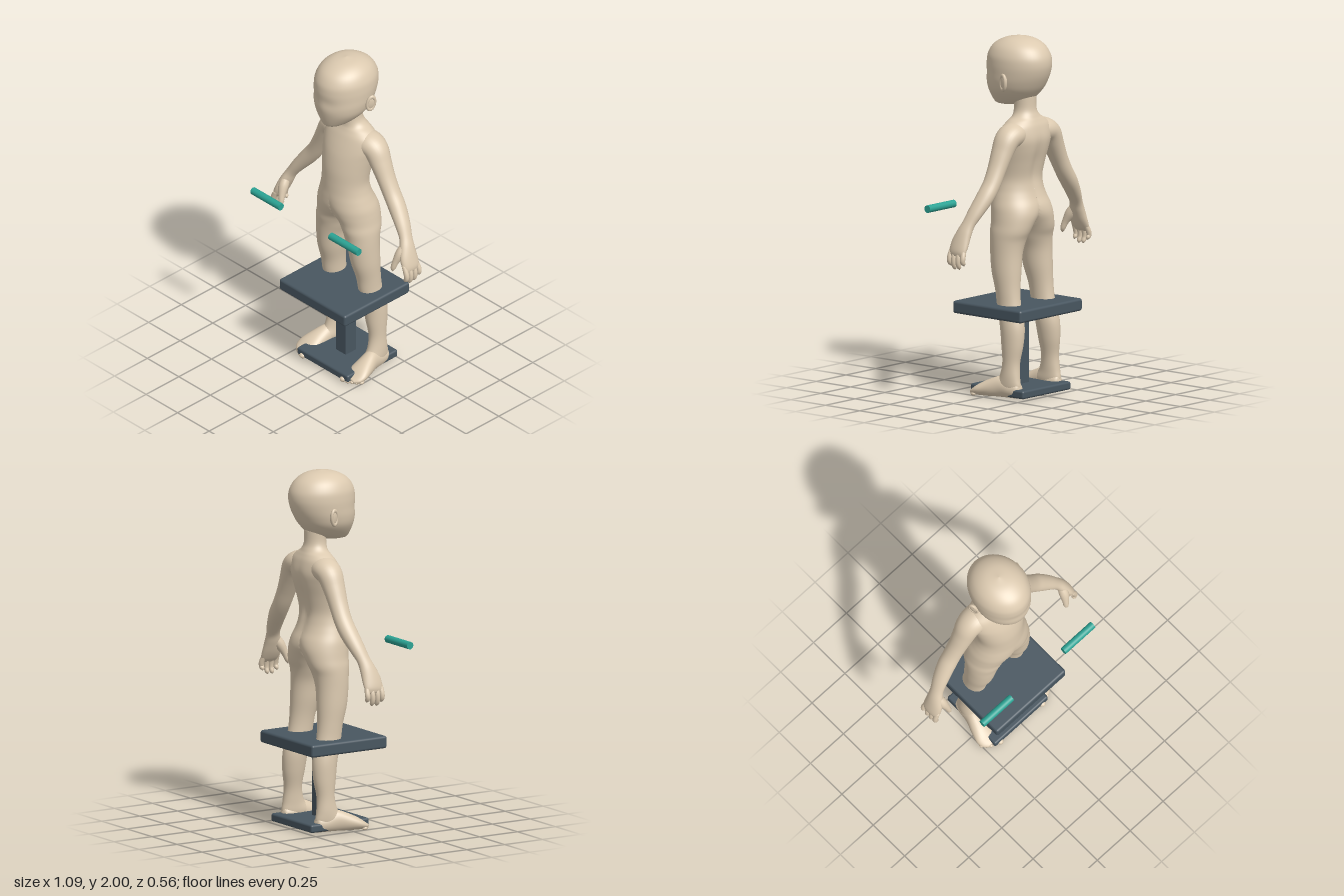
import * as THREE from 'three';
import { RoundedBoxGeometry } from 'three/addons/geometries/RoundedBoxGeometry.js';

const Y = new THREE.Vector3(0, 1, 0), Z = new THREE.Vector3(0, 0, 1);

// Smooth closed loft through ellipses [x, y, z, a, b]; b lies along "ref", a across it.
// "half" cuts the loft at x = 0 so that it joins its mirror image without a seam.
function loft(sections, { side = 1, ref = Z, axis = null, seg = 32, steps = 5, tweak = null, half = false } = {}) {
  const path = new THREE.CatmullRomCurve3(sections.map(s => new THREE.Vector3(s[0] * side, s[1], s[2])), false, 'catmullrom');
  const size = new THREE.CatmullRomCurve3(sections.map(s => new THREE.Vector3(s[3], s[4], 0)), false, 'catmullrom');
  const n = (sections.length - 1) * steps, pos = [], idx = [];
  for (let i = 0; i <= n; i++) {
    const c = path.getPoint(i / n), r = size.getPoint(i / n);
    const T = axis ? axis.clone() : path.getTangent(i / n);
    const V = ref.clone().addScaledVector(T, -ref.dot(T)).normalize();
    const U = V.clone().cross(T);
    for (let j = 0; j < seg; j++) {
      const t = (j / seg) * Math.PI * 2;
      const p = c.clone().addScaledVector(U, Math.max(r.x, 0.001) * Math.cos(t))
        .addScaledVector(V, Math.max(r.y, 0.001) * Math.sin(t));
      if (tweak) tweak(p, c);
      if (half && p.x * side < 1e-5) p.x = 0;
      pos.push(p.x, p.y, p.z);
    }
  }
  const tri = (...t) => {
    if (!half || t.some(k => pos[k * 3] !== 0)) idx.push(...t);
  };
  for (let i = 0; i < n; i++) for (let j = 0; j < seg; j++) {
    const a = i * seg + j, b = i * seg + (j + 1) % seg;
    tri(a, b, a + seg);
    tri(b, b + seg, a + seg);
  }
  // end caps
  for (let j = 1; j < seg - 1; j++) {
    const e = n * seg;
    tri(0, j + 1, j);
    tri(e, e + j, e + j + 1);
  }
  const g = new THREE.BufferGeometry();
  g.setAttribute('position', new THREE.Float32BufferAttribute(pos, 3));
  g.setIndex(idx);
  g.computeVertexNormals();
  if (half) {
    const N = g.attributes.normal;
    for (let k = 0; k < N.count; k++) if (pos[k * 3] === 0) N.setX(k, 0);
    g.normalizeNormals();
  }
  return g;
}

// Horizontal sections [y, halfWidth, zFront, zBack]
const slices = rows => rows.map(([y, w, f, b]) => [0, y, (f + b) / 2, w, (f - b) / 2]);
const bump = (v, c, w) => Math.exp(-(((v - c) / w) ** 2));

export function createModel() {
  const skin = new THREE.MeshStandardMaterial({ color: 0xdccab0 });
  const slate = new THREE.MeshStandardMaterial({ color: 0x485660 });
  const teal = new THREE.MeshStandardMaterial({ color: 0x2ca394 });
  [skin, slate, teal].forEach((m, i) => { m.name = ['skin', 'slate', 'teal'][i]; });
  const model = new THREE.Group();
  model.name = 'seatedStandFigure';
  const add = (name, geo, mat, x = 0, y = 0, z = 0) => {
    const m = new THREE.Mesh(geo, mat);
    m.name = name;
    m.position.set(x, y, z);
    model.add(m);
    return m;
  };

  // Head, with a faint hollow at eye level
  add('head', loft(slices([
    [1.607, 0.015, 0.085, 0.02], [1.617, 0.058, 0.112, -0.045], [1.65, 0.1, 0.127, -0.125],
    [1.7, 0.139, 0.14, -0.176], [1.75, 0.155, 0.148, -0.208], [1.8, 0.16, 0.147, -0.23],
    [1.85, 0.161, 0.147, -0.24], [1.9, 0.154, 0.138, -0.232], [1.95, 0.127, 0.103, -0.197],
    [1.985, 0.077, 0.037, -0.135], [2.0, 0.002, -0.045, -0.05],
  ]), {
    axis: Y, seg: 48, tweak: p => {
      if (p.z > 0) p.z -= 0.005 * bump(p.y, 1.78, 0.035) * bump(Math.abs(p.x), 0.05, 0.05);
    },
  }), skin);

  for (const [side, word] of [[1, 'left'], [-1, 'right']]) {
    // Half of the body in one sweep: leg, hip, trunk and neck, with a spine groove
    const leg = [
      [0.168, 0.04, -0.105, 0.038, 0.08], [0.168, 0.07, -0.108, 0.044, 0.087], [0.168, 0.12, -0.122, 0.044, 0.065],
      [0.163, 0.2, -0.128, 0.044, 0.053], [0.154, 0.3, -0.129, 0.055, 0.066], [0.147, 0.4, -0.122, 0.062, 0.073],
      [0.142, 0.51, -0.095, 0.058, 0.073], [0.139, 0.6, -0.082, 0.063, 0.074], [0.132, 0.7, -0.067, 0.076, 0.087],
      [0.124, 0.8, -0.06, 0.084, 0.094], [0.111, 0.87, -0.061, 0.096, 0.103], [0.1, 0.92, -0.066, 0.104, 0.117],
      [0.082, 0.965, -0.069, 0.114, 0.125], [0.055, 1.015, -0.065, 0.134, 0.136], [0.034, 1.06, -0.057, 0.147, 0.138],
      [0.014, 1.11, -0.047, 0.151, 0.13],
    ];
    const trunk = slices([
      [1.16, 0.15, 0.081, -0.166], [1.22, 0.142, 0.078, -0.162], [1.3, 0.151, 0.072, -0.178],
      [1.38, 0.166, 0.055, -0.197], [1.44, 0.178, 0.033, -0.203], [1.5, 0.172, 0.004, -0.19],
      [1.535, 0.128, -0.016, -0.175], [1.56, 0.085, -0.026, -0.163], [1.6, 0.064, -0.028, -0.15],
      [1.68, 0.064, -0.03, -0.148],
    ]);
    add(word + 'Body', loft([...leg, ...trunk], {
      side, axis: Y, seg: 64, half: true, tweak: (p, c) => {
        if (p.z < c.z) p.z += 0.018 * bump(p.x, 0, 0.035) * bump(p.y, 1.28, 0.15);
      },
    }), skin);

    // Ear: dished shell with a soft rim, its back edge standing out
    const ear = new THREE.Group();
    ear.name = word + 'Ear';
    const shell = new THREE.Mesh(new THREE.SphereGeometry(1, 20, 14), skin);
    shell.scale.set(0.014, 0.047, 0.03);
    const rim = new THREE.Mesh(new THREE.TorusGeometry(0.03, 0.009, 10, 28), skin);
    rim.rotation.y = Math.PI / 2;
    rim.scale.set(0.8, 1.35, 1);
    rim.position.x = side * 0.005;
    shell.name = 'earShell';
    rim.name = 'earRim';
    ear.add(shell, rim);
    ear.position.set(side * 0.164, 1.76, -0.075);
    ear.rotation.set(-0.15, -side * 0.35, -side * 0.1);
    model.add(ear);

    // Arm and palm
    add(word + 'Arm', loft([
      [0.03, 1.45, -0.1, 0.05, 0.06], [0.085, 1.464, -0.1, 0.068, 0.076], [0.135, 1.462, -0.104, 0.068, 0.08],
      [0.178, 1.437, -0.106, 0.064, 0.073],
      [0.214, 1.375, -0.105, 0.056, 0.064], [0.258, 1.29, -0.105, 0.048, 0.055], [0.302, 1.212, -0.105, 0.046, 0.052],
      [0.352, 1.145, -0.099, 0.045, 0.052], [0.41, 1.07, -0.083, 0.037, 0.046], [0.45, 1.01, -0.068, 0.03, 0.04],
      [0.474, 0.96, -0.056, 0.032, 0.048], [0.497, 0.905, -0.046, 0.03, 0.058], [0.517, 0.86, -0.045, 0.023, 0.057],
      [0.526, 0.835, -0.045, 0.012, 0.046],
    ], { side }), skin);

    // Fingers and thumb
    [[-0.092, 0.785], [-0.06, 0.762], [-0.028, 0.76], [0.002, 0.778]].forEach(([z, tip], i) => {
      add(word + 'Finger' + (i + 1), loft([
        [0.508, 0.88, z * 0.9, 0.013, 0.013], [0.527, 0.835, z, 0.015, 0.015],
        [0.531, (0.835 + tip) / 2, z, 0.014, 0.014], [0.522, tip + 0.012, z, 0.012, 0.012],
        [0.518, tip, z, 0.002, 0.002],
      ], { side, seg: 14, steps: 4 }), skin);
    });
    add(word + 'Thumb', loft([
      [0.468, 0.985, -0.05, 0.018, 0.022], [0.464, 0.935, -0.016, 0.028, 0.029], [0.452, 0.885, 0.01, 0.019, 0.02],
      [0.445, 0.845, 0.023, 0.014, 0.014], [0.446, 0.824, 0.027, 0.002, 0.002],
    ], { side, seg: 16 }), skin);

    // Foot, flattened below
    add(word + 'Foot', loft([
      [0.165, 0.045, -0.198, 0.008, 0.015], [0.166, 0.046, -0.185, 0.032, 0.042], [0.168, 0.05, -0.14, 0.043, 0.05],
      [0.176, 0.06, -0.075, 0.046, 0.062], [0.189, 0.05, -0.01, 0.056, 0.052], [0.198, 0.037, 0.05, 0.064, 0.036],
      [0.198, 0.025, 0.09, 0.056, 0.022], [0.193, 0.02, 0.115, 0.036, 0.012],
    ], { side, ref: Y, axis: Z, tweak: p => { p.y = Math.max(p.y, 0.006); } }), skin);

    // Toes, big toe on the inner side
    [[0.16, 0.122, 0.021], [0.189, 0.118, 0.014], [0.212, 0.106, 0.013], [0.232, 0.092, 0.012], [0.249, 0.074, 0.012]]
      .forEach(([x, z, r], i) => {
        const toe = add(word + 'Toe' + (i + 1), new THREE.SphereGeometry(r, 16, 12), skin, side * x, r * 0.85 + 0.002, z);
        toe.scale.set(1, 0.85, 1.35);
      });

    // Floating grip bar
    const grip = add(word + 'Grip', new THREE.CylinderGeometry(0.021, 0.021, 0.223, 28), teal, side * 0.309, 1.047, 0.26);
    grip.rotation.z = Math.PI / 2;
  }

  // Stand: seat, post and base plate
  add('seat', new RoundedBoxGeometry(0.524, 0.07, 0.496, 4, 0.014), slate, 0, 0.483, -0.033);
  add('post', new RoundedBoxGeometry(0.08, 0.42, 0.08, 2, 0.004), slate, 0, 0.25, -0.045);
  add('basePlate', new RoundedBoxGeometry(0.405, 0.046, 0.384, 4, 0.012), slate, 0, 0.034, -0.056);
  return model;
}
